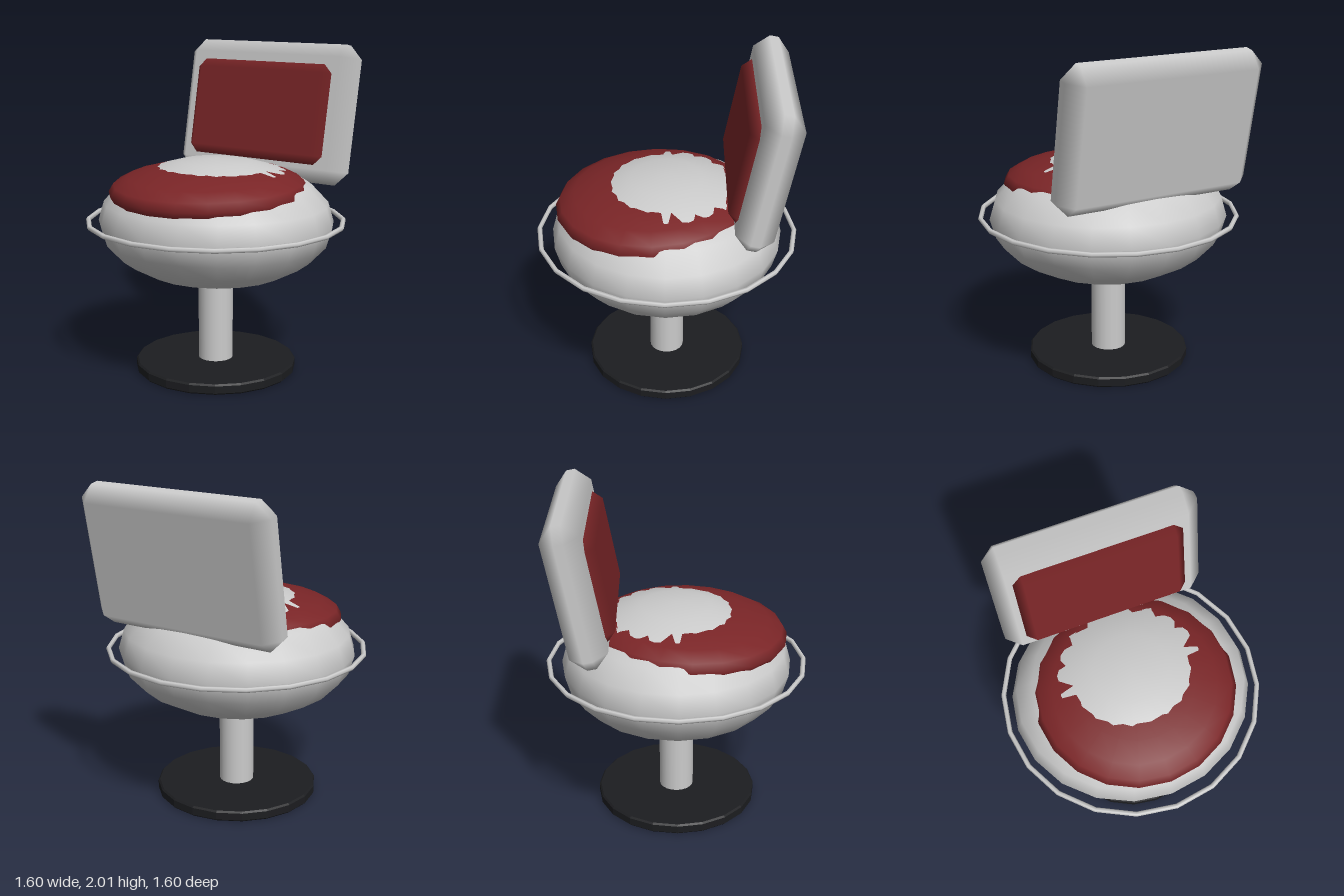
import * as THREE from 'three';
import { ConvexGeometry } from 'three/addons/geometries/ConvexGeometry.js';

const material = (color) => new THREE.MeshStandardMaterial({ color });

// Box with chamfered edges; normals follow the six main faces so the bevels shade smoothly
function chamferedBox(hx, hy, hz, b) {
  const half = [hx, hy, hz];
  const points = [];
  for (let axis = 0; axis < 3; axis++) {
    for (const sx of [-1, 1]) for (const sy of [-1, 1]) for (const sz of [-1, 1]) {
      const p = half.map((h, i) => (i === axis ? h : h - b));
      points.push(new THREE.Vector3(p[0] * sx, p[1] * sy, p[2] * sz));
    }
  }
  const geometry = new ConvexGeometry(points);
  const position = geometry.attributes.position;
  const normal = geometry.attributes.normal;
  for (let i = 0; i < position.count; i++) {
    const p = [position.getX(i), position.getY(i), position.getZ(i)];
    const n = p.map((v, k) => (Math.abs(Math.abs(v) - half[k]) < 1e-4 ? Math.sign(v) : 0));
    normal.setXYZ(i, n[0], n[1], n[2]);
  }
  return geometry;
}

export function createModel() {
  const group = new THREE.Group();
  const grey = material(0xcccccc);
  const red = material(0x7a2527);
  const black = material(0x1c1d20);

  const add = (name, geometry, mat, x, y, z, parent = group) => {
    const mesh = new THREE.Mesh(geometry, mat);
    mesh.name = name;
    mesh.position.set(x, y, z);
    parent.add(mesh);
    return mesh;
  };

  // Floor disc with a slim bevel, and the post
  const disc = new THREE.LatheGeometry([
    [0, 0], [0.49, 0], [0.5, 0.01], [0.5, 0.055], [0.49, 0.065], [0, 0.065],
  ].map(([r, y]) => new THREE.Vector2(r, y)), 20);
  black.flatShading = true;
  add('base', disc, black, 0, 0, 0);
  add('post', new THREE.CylinderGeometry(0.107, 0.107, 0.48, 20), grey, 0, 0.3, 0);

  // Flattened seat body
  const body = new THREE.SphereGeometry(1, 20, 10).scale(0.735, 0.39, 0.703);
  add('seatBody', body, grey, 0, 0.945, 0);

  // Thin hoop around the body
  const hoop = new THREE.TorusGeometry(0.785, 0.015, 6, 20).rotateX(Math.PI / 2);
  add('hoop', hoop, grey, 0, 0.95, 0);

  // Seat cushion sunk into the body, dipping slightly to the front
  const cushion = new THREE.SphereGeometry(1, 20, 10).scale(0.61, 0.16, 0.6);
  add('seatCushion', cushion, red, 0, 1.15, 0.075).rotation.x = 0.04;

  // Reclined backrest with its pad
  const back = new THREE.Group();
  back.name = 'backrest';
  back.position.set(0, 1.575, -0.565);
  back.rotation.x = -0.19;
  group.add(back);
  add('backShell', chamferedBox(0.625, 0.433, 0.112, 0.085), grey, 0, 0, 0, back);
  add('backPad', chamferedBox(0.51, 0.315, 0.063, 0.06), red, 0, -0.012, 0.103, back);

  return group;
}
